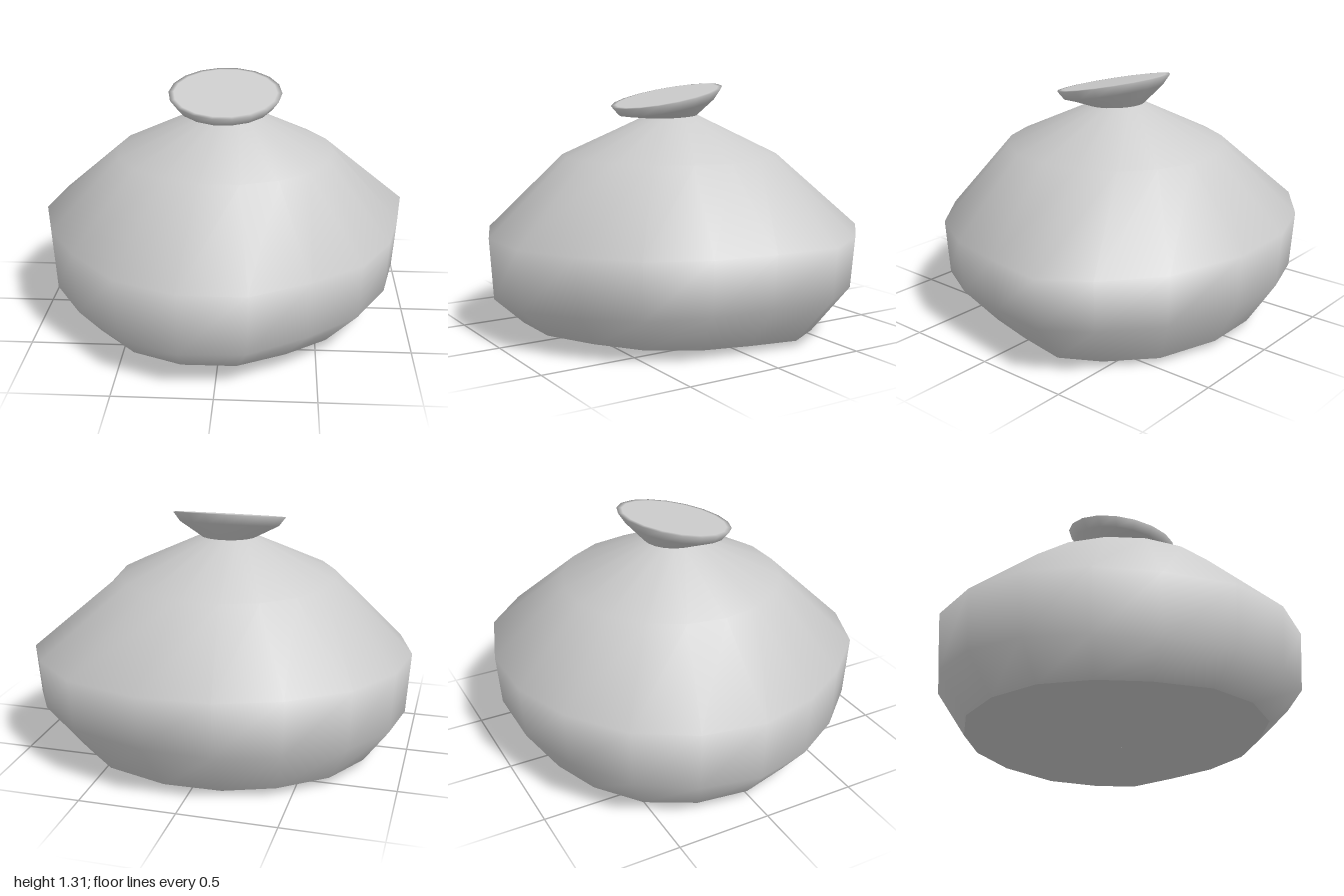
import * as THREE from 'three';

// Widest outline of the pot, as [x, z] going round from its left side
const OUTLINE = [
  [0.95, -0.03], [0.88, 0.29], [0.72, 0.58], [0.46, 0.79], [0.16, 0.96], [-0.18, 0.97],
  [-0.49, 0.84], [-0.74, 0.57], [-0.91, 0.29], [-1, -0.03], [-0.95, -0.36], [-0.78, -0.65],
  [-0.49, -0.86], [-0.17, -0.97], [0.2, -0.97], [0.6, -0.84], [0.86, -0.6], [1, -0.36],
];
const SIDES = OUTLINE.length;

// Ring following the outline; its height leans with x and z
function lumpyRing(scale, shiftX, y, leanX, leanZ) {
  return OUTLINE.map(([px, pz]) => {
    const x = px * scale + shiftX, z = pz * scale;
    return [x, y + leanX * x + leanZ * z, z];
  });
}

// Round ring, with optional tilt and shift along z
function roundRing(radius, y, leanZ = 0, shiftZ = 0) {
  return OUTLINE.map((_, i) => {
    const a = (i / SIDES) * Math.PI * 2;
    const x = radius * Math.cos(a), z = radius * Math.sin(a) + shiftZ;
    return [x, y + leanZ * z, z];
  });
}

// Skin over rings listed from outside-bottom to top; an optional tip closes the last ring
function loft(name, rings, material, tip) {
  const positions = rings.flat(2);
  const index = [];
  for (let r = 0; r < rings.length - 1; r++) {
    for (let i = 0; i < SIDES; i++) {
      const j = (i + 1) % SIDES;
      const a = r * SIDES + i, b = r * SIDES + j;
      index.push(a, a + SIDES, b, b, a + SIDES, b + SIDES);
    }
  }
  if (tip) {
    const start = (rings.length - 1) * SIDES;
    positions.push(...tip);
    for (let i = 0; i < SIDES; i++) {
      index.push(start + i, rings.length * SIDES, start + ((i + 1) % SIDES));
    }
  }
  const geometry = new THREE.BufferGeometry();
  geometry.setAttribute('position', new THREE.Float32BufferAttribute(positions, 3));
  geometry.setIndex(index);
  geometry.computeVertexNormals();
  const mesh = new THREE.Mesh(geometry, material);
  mesh.name = name;
  return mesh;
}

export function createModel() {
  const group = new THREE.Group();
  group.name = 'pot';
  const material = new THREE.MeshStandardMaterial({ color: 0xcccccc, side: THREE.DoubleSide });

  const base = lumpyRing(0.81, -0.03, 0.045, -0.012, 0.015);
  const neck = roundRing(0.15, 1.14, -0.05, -0.02);
  const rimTop = roundRing(0.275, 1.252, -0.21);

  // Bulging body up to the narrow neck
  group.add(loft('body', [
    base,
    lumpyRing(0.98, 0, 0.25, 0.015, -0.04),
    lumpyRing(1, 0, 0.55, -0.015, -0.02),
    roundRing(0.585, 0.935, 0, -0.02),
    neck,
  ], material));

  // Tilted flaring rim
  group.add(loft('rim', [
    neck,
    roundRing(0.265, 1.2, -0.205),
    roundRing(0.302, 1.25, -0.205),
    rimTop,
  ], material));

  // Flat closed mouth
  group.add(loft('mouth', [rimTop], material, [0, 1.252, 0]));

  // Slightly domed underside, built from the middle outward
  const underside = loft('underside', [
    roundRing(0.001, 0),
    lumpyRing(0.5, -0.05, 0, 0, 0),
    base,
  ], material);
  group.add(underside);

  return group;
}
